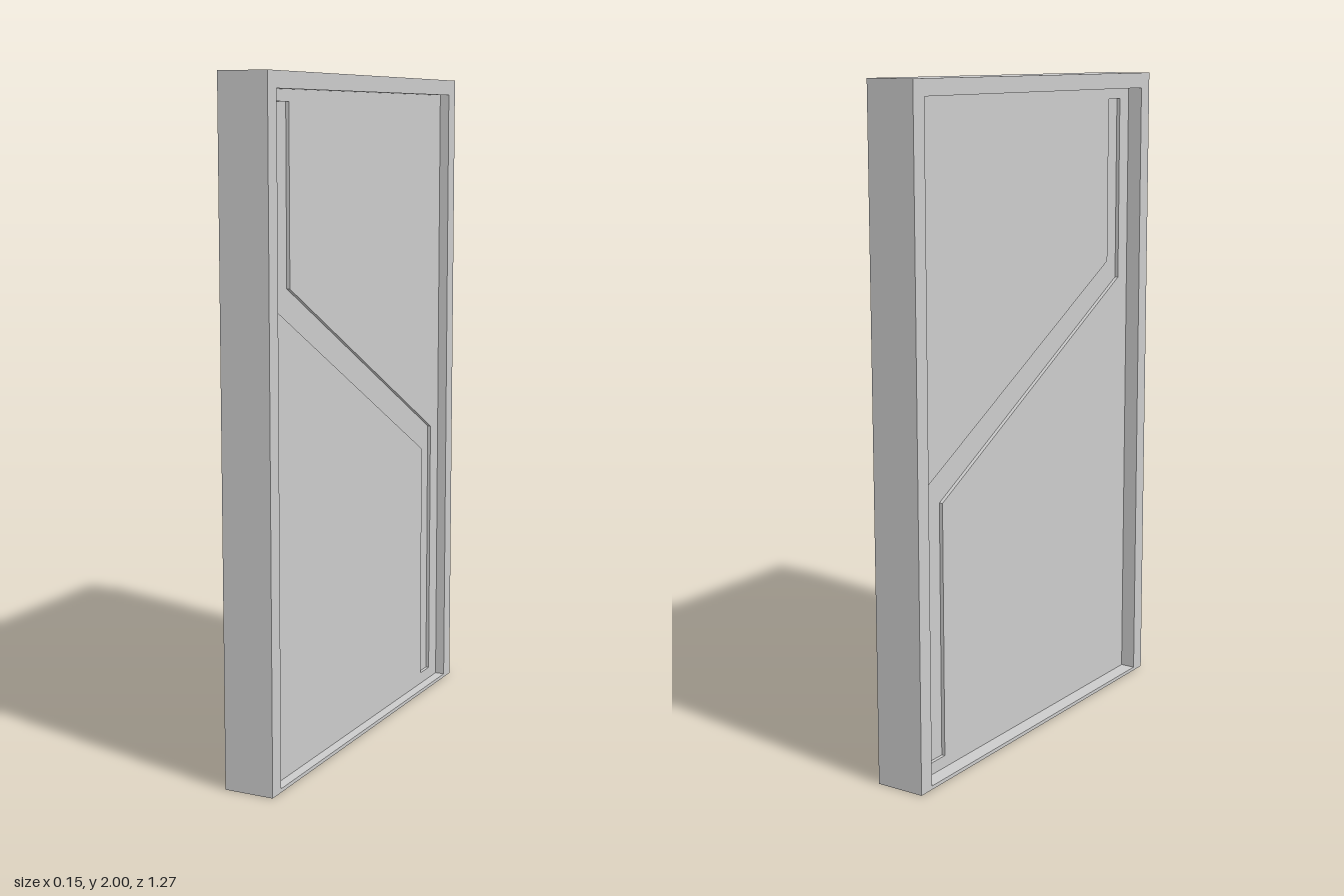
import * as THREE from 'three';

const material = new THREE.MeshStandardMaterial({ color: 0xcccccc, flatShading: true });
const toPoints = (pairs) => pairs.map(([z, y]) => new THREE.Vector2(z, y));
const rect = (z, y0, y1) => toPoints([[-z, y0], [z, y0], [z, y1], [-z, y1]]);

// Extrudes a (z, y) outline with an optional hole between two x positions
function slab(name, outline, hole, x0, x1) {
  const shape = new THREE.Shape(outline);
  if (hole) shape.holes.push(new THREE.Path(hole));
  const geometry = new THREE.ExtrudeGeometry(shape, { depth: x1 - x0, bevelEnabled: false });
  geometry.rotateY(-Math.PI / 2).translate(x1, 0, 0);
  const mesh = new THREE.Mesh(geometry, material);
  mesh.name = name;
  return mesh;
}

export function createModel() {
  const door = new THREE.Group();
  door.name = 'door';

  const opening = rect(0.585, 0.011, 1.953);
  // Z-shaped decorative groove
  const groove = toPoints([
    [0.53, 1.92], [0.46, 1.92], [0.46, 1.41], [-0.525, 0.875],
    [-0.525, 0.047], [-0.455, 0.047], [-0.455, 0.81], [0.53, 1.35],
  ]);

  // Outer frame
  door.add(slab('frame', rect(0.635, 0, 2), opening, -0.076, 0.076));

  // Recessed panel: solid core with a grooved skin on each face
  door.add(slab('panelCore', opening, null, -0.018, 0.036));
  door.add(slab('leftPanelSkin', opening, groove, 0.036, 0.046));
  door.add(slab('rightPanelSkin', opening, groove, -0.029, -0.018));

  return door;
}
